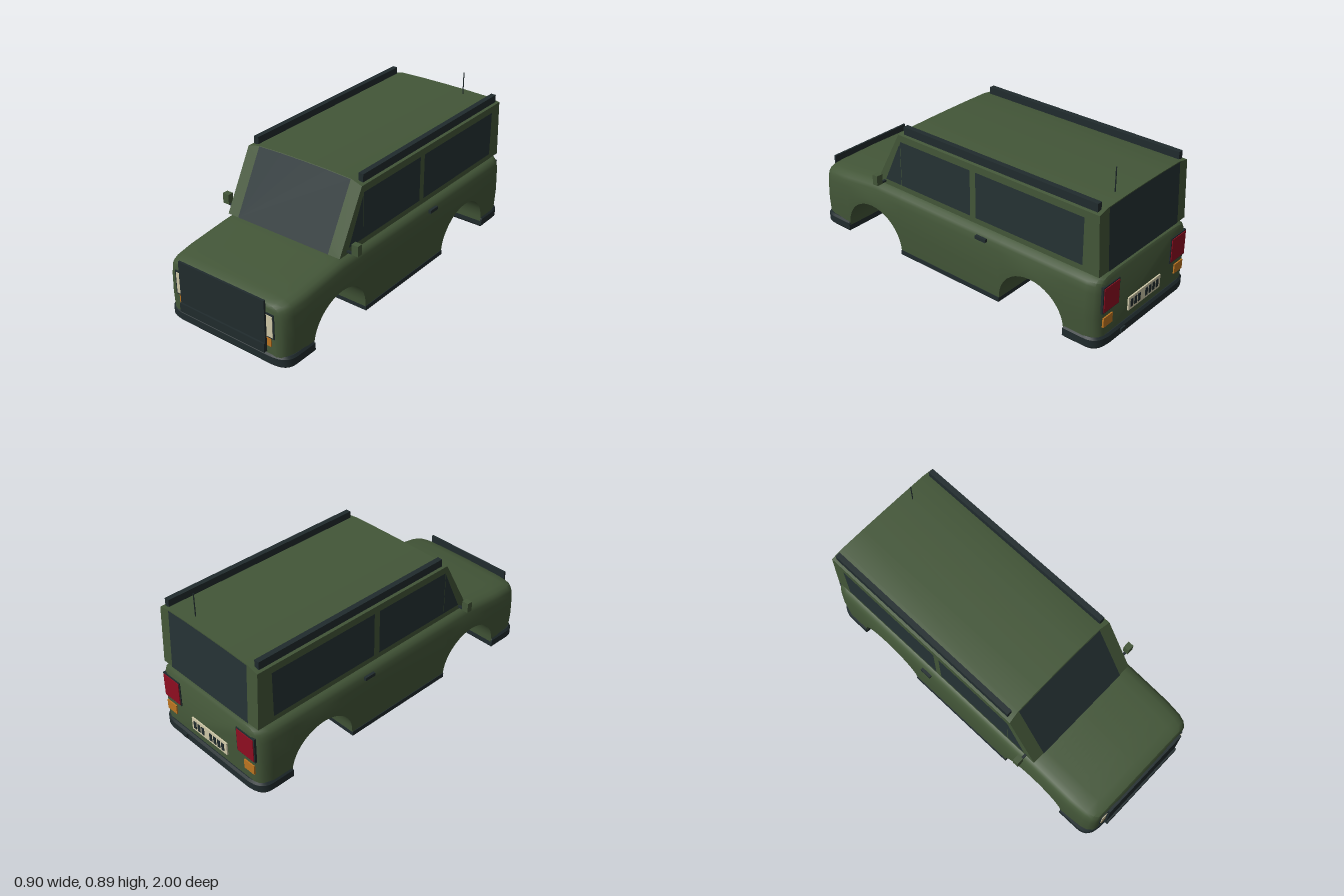
import * as THREE from 'three';
import { toCreasedNormals } from 'three/addons/utils/BufferGeometryUtils.js';

const mat = (name, color) => { const m = new THREE.MeshStandardMaterial({ color }); m.name = name; return m; };

// Joins closed cross-sections (each a list of [x, y, z], front to back) and caps both ends.
function loft(sections, crease) {
  const n = sections[0].length, index = [];
  for (let i = 0; i < sections.length - 1; i++) {
    for (let j = 0; j < n; j++) {
      const a = i * n + j, b = i * n + (j + 1) % n, d = a + n, c = b + n;
      index.push(a, d, b, d, c, b);
    }
  }
  const last = (sections.length - 1) * n;
  for (let j = 1; j < n - 1; j++) index.push(0, j, j + 1, last, last + j + 1, last + j);
  const g = new THREE.BufferGeometry();
  g.setAttribute('position', new THREE.Float32BufferAttribute(sections.flat(2), 3));
  g.setIndex(index);
  return toCreasedNormals(g, crease);
}

// Completes a right half outline, which runs from the bottom to the centre line.
const mirrorHalf = half => [...half, ...half.slice(0, -1).reverse().map(([x, y]) => [-x, y])];

// Flat convex face from corners in counter-clockwise order.
function face(points) {
  const g = new THREE.BufferGeometry(), index = [];
  g.setAttribute('position', new THREE.Float32BufferAttribute(points.flat(), 3));
  for (let j = 1; j < points.length - 1; j++) index.push(0, j, j + 1);
  g.setIndex(index);
  g.computeVertexNormals();
  return g;
}

export function createModel() {
  const car = new THREE.Group();
  car.name = 'offRoadCar';
  const green = mat('bodyGreen', 0x435638);
  const glass = mat('darkGlass', 0x253234);
  const trim = mat('darkTrim', 0x202b2d);
  const cream = mat('creamLamp', 0xcfc8a8);
  const orange = mat('orangeLamp', 0xbc7420);
  const red = mat('redLamp', 0x8e0d20);

  const add = (name, geometry, material) => {
    const m = new THREE.Mesh(geometry, material);
    m.name = name;
    car.add(m);
    return m;
  };
  const box = (name, material, x0, x1, y0, y1, z0, z1) => {
    const m = add(name, new THREE.BoxGeometry(x1 - x0, y1 - y0, z1 - z0), material);
    m.position.set((x0 + x1) / 2, (y0 + y1) / 2, (z0 + z1) / 2);
    return m;
  };
  const pair = (name, material, x0, x1, ...rest) => {
    box(name + 'Left', material, x0, x1, ...rest);
    box(name + 'Right', material, -x1, -x0, ...rest);
  };

  // Lower body: half width and height along z
  const plan = [
    [0.97, 0.335, 0.33], [0.962, 0.36, 0.345], [0.94, 0.38, 0.355], [0.9, 0.392, 0.363], [0.8, 0.4, 0.375],
    [0.53, 0.4, 0.405], [-0.9, 0.4, 0.405], [-0.945, 0.387, 0.404], [-0.965, 0.368, 0.4], [-0.975, 0.342, 0.385],
  ];
  const sizeAt = z => {
    let i = 0;
    while (i < plan.length - 2 && z < plan[i + 1][0]) i++;
    const t = (plan[i][0] - z) / (plan[i][0] - plan[i + 1][0]);
    return [1, 2].map(k => plan[i][k] + (plan[i + 1][k] - plan[i][k]) * t);
  };
  const sill = 0.04;
  const stations = plan.filter(p => p[0] !== 0.53).map(p => [p[0], sill, 0]);
  for (const [centre, radius] of [[0.5525, 0.2075], [-0.5675, 0.2075]]) {
    for (let i = 0; i <= 20; i++) {
      const a = Math.PI * i / 20;
      stations.push([centre + radius * Math.cos(a), sill + 0.21 * Math.sin(a), Math.sin(a)]);
    }
  }
  stations.sort((a, b) => b[0] - a[0]);
  const bodySections = stations.map(([z, y, arch]) => {
    const [w, h] = sizeAt(z);
    const half = [
      [w * 0.985 + 0.014 * arch, y], [w + 0.003 + 0.006 * arch, (y + h - 0.085) / 2], [w, h - 0.085],
      [w * 0.985, h - 0.05], [w * 0.965, h - 0.032], [w * 0.925, h - 0.018], [w * 0.85, h - 0.009],
      [w * 0.7, h - 0.004], [0, h],
    ];
    return mirrorHalf(half).map(([x, yy]) => [x, yy, z]);
  });
  add('lowerBody', loft(bodySections, 0.6), green);

  // Cabin with raked windscreen and nearly upright back
  const zFront = y => 0.53 - (y - 0.407) * 0.535;
  const zBack = y => -0.957 + (y - 0.407) * 0.045;
  const cabin = mirrorHalf([[0.372, 0.407], [0.372, 0.737], [0.3, 0.752], [0.15, 0.756], [0, 0.757]]);
  add('cabin', loft([zFront, zBack].map(f => cabin.map(([x, y]) => [x, y, f(y)])), 0.3), green);

  // Windscreen and rear window
  const screen = [[-0.3, 0.409], [0.3, 0.409], [0.3, 0.751], [0.15, 0.755], [0, 0.756], [-0.15, 0.755], [-0.3, 0.751]];
  add('windscreen', face(screen.map(([x, y]) => [x, y, zFront(y) + 0.004])), glass);
  add('rearWindow', face(screen.map(([x, y]) => [-x, y, zBack(y) - 0.004])), glass);

  // Side windows, as [z, y] seen from the car's left
  const windows = {
    frontWindow: [[0.34, 0.44], [-0.15, 0.44], [-0.15, 0.7], [0.34, 0.7]],
    rearSideWindow: [[-0.187, 0.44], [-0.86, 0.44], [-0.86, 0.7], [-0.187, 0.7]],
    quarterWindow: [[0.46, 0.44], [0.343, 0.44], [0.343, 0.69]],
  };
  for (const [name, outline] of Object.entries(windows)) {
    add(name + 'Left', face(outline.map(([z, y]) => [0.375, y, z])), glass);
    add(name + 'Right', face(outline.map(([z, y]) => [-0.375, y, z]).reverse()), glass);
  }

  // Wrap-around bumpers
  const bumper = (name, dir, inner, outer) => {
    const s = new THREE.Shape();
    s.moveTo(-0.393, -inner);
    s.lineTo(0.393, -inner);
    s.lineTo(0.393, -(outer - 0.08));
    s.bezierCurveTo(0.393, -(outer - 0.02), 0.36, -(outer - 0.005), 0.3, -outer);
    s.lineTo(-0.3, -outer);
    s.bezierCurveTo(-0.36, -(outer - 0.005), -0.393, -(outer - 0.02), -0.393, -(outer - 0.08));
    const g = new THREE.ExtrudeGeometry(s, {
      depth: 0.041, bevelSize: 0.01, bevelThickness: 0.012, bevelSegments: 1, curveSegments: 8,
    });
    g.rotateX(-Math.PI / 2);
    g.translate(0, 0.012, 0);
    if (dir < 0) g.rotateY(Math.PI);
    add(name, toCreasedNormals(g, 0.5), trim);
  };
  bumper('frontBumper', 1, 0.77, 0.968);
  bumper('rearBumper', -1, 0.785, 0.98);

  // Floor, open from above in the arches, and sills
  const floor = add('floor', new THREE.PlaneGeometry(0.77, 1.86).rotateX(Math.PI / 2), trim);
  floor.position.y = 0.014;
  box('sills', trim, -0.398, 0.398, 0.016, 0.042, -0.36, 0.345);

  // Front: grille, guard, lamps and plate
  box('grille', trim, -0.283, 0.283, 0.13, 0.37, 0.978, 0.99);
  box('grilleGuard', trim, -0.283, 0.283, 0.08, 0.13, 0.978, 1.0);
  box('frontPlate', cream, -0.147, 0.147, 0.075, 0.13, 0.965, 0.977);
  pair('headlampFrame', trim, 0.2, 0.328, 0.158, 0.297, 0.94, 0.974);
  pair('headlamp', cream, 0.21, 0.319, 0.166, 0.287, 0.97, 0.977);
  pair('frontIndicator', orange, 0.22, 0.307, 0.11, 0.156, 0.95, 0.975);

  // Rear: lamps, plate with plain stripes, exhaust
  pair('tailLampFrame', trim, 0.225, 0.362, 0.203, 0.352, -0.98, -0.94);
  pair('tailLamp', red, 0.232, 0.355, 0.21, 0.345, -0.984, -0.978);
  pair('rearIndicator', orange, 0.275, 0.35, 0.12, 0.175, -0.982, -0.95);
  box('rearPlate', cream, -0.14, 0.14, 0.11, 0.185, -0.983, -0.97);
  for (const x of [-0.11, -0.078, -0.046, -0.014, 0.05, 0.082, 0.114]) {
    box('plateStripe', trim, x - 0.01, x + 0.01, 0.125, 0.17, -0.986, -0.982);
  }
  box('exhaust', trim, 0.18, 0.215, 0.025, 0.05, -1.0, -0.95);

  // Mirrors, handles, roof rails and aerial
  pair('mirrorArm', trim, 0.365, 0.422, 0.42, 0.43, 0.463, 0.477);
  pair('mirror', green, 0.41, 0.45, 0.427, 0.485, 0.452, 0.486);
  pair('doorHandle', trim, 0.395, 0.411, 0.344, 0.363, -0.28, -0.212);
  pair('roofRail', trim, 0.328, 0.358, 0.742, 0.786, -0.92, 0.325);
  add('aerial', new THREE.CylinderGeometry(0.003, 0.003, 0.137, 8), trim).position.set(0.165, 0.818, -0.88);

  return car;
}
